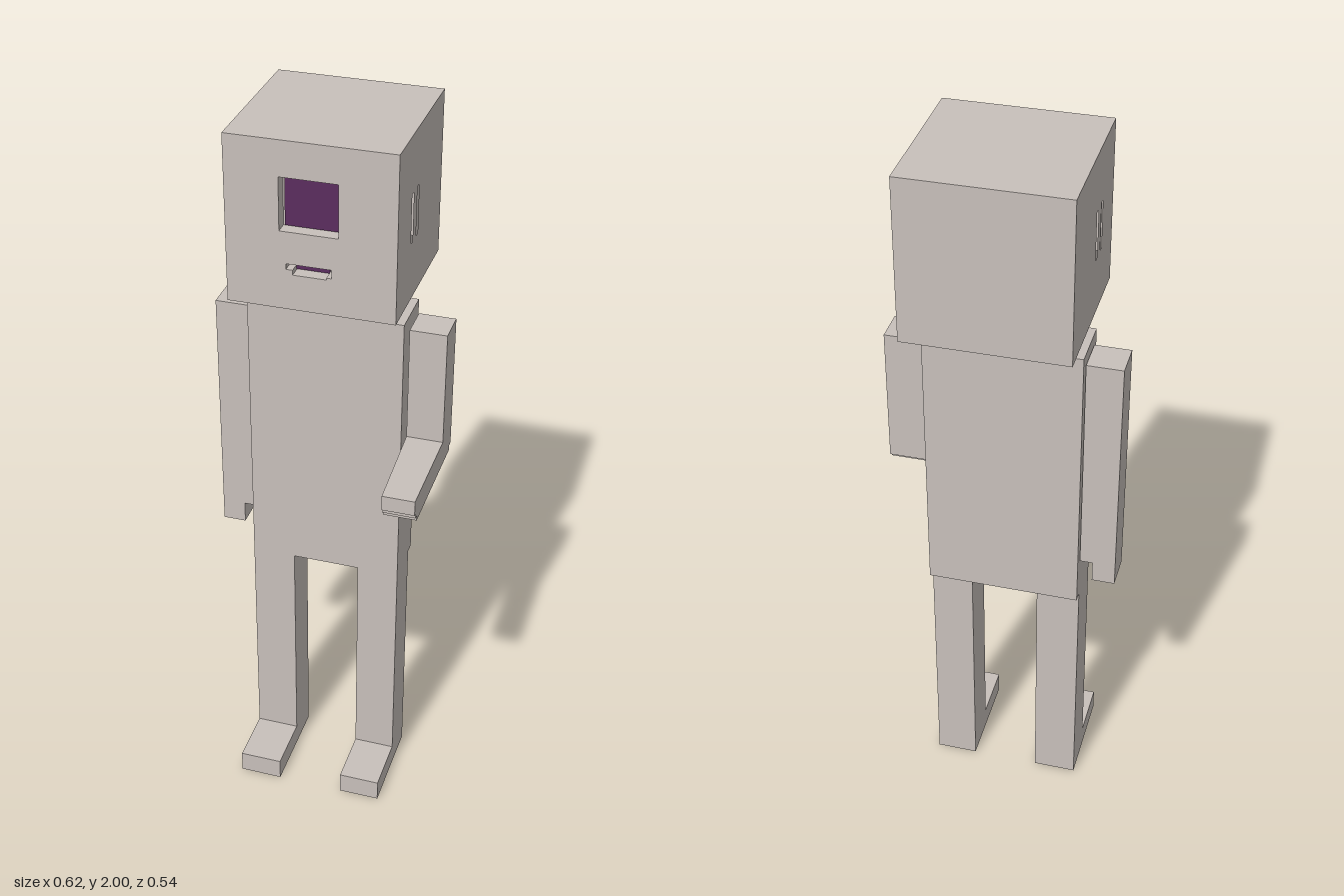
import * as THREE from 'three';

const clay = new THREE.MeshStandardMaterial({ color: 0xc8c0bb });
clay.name = 'warm grey';
const purple = new THREE.MeshStandardMaterial({ color: 0x5b2d5e });
purple.name = 'dark purple';

const V = (pts) => pts.map(([x, y]) => new THREE.Vector2(x, y));
const rect = (x0, x1, y0, y1) => [[x0, y0], [x1, y0], [x1, y1], [x0, y1]];

function extrude(outline, holes, depth) {
  const shape = new THREE.Shape(V(outline));
  for (const h of holes) shape.holes.push(new THREE.Path(V(h)));
  return new THREE.ExtrudeGeometry(shape, { depth, bevelEnabled: false });
}

// Outline in (x, y), running from z0 to z1
const alongZ = (outline, z0, z1, holes = []) =>
  extrude(outline, holes, z1 - z0).translate(0, 0, z0);

// Outline in (z, y), running from x0 to x1
function alongX(outline, x0, x1, holes = []) {
  const flip = (pts) => pts.map(([z, y]) => [-z, y]);
  return extrude(flip(outline), holes.map(flip), x1 - x0).rotateY(Math.PI / 2).translate(x0, 0, 0);
}

function box(x0, x1, y0, y1, z0, z1) {
  return new THREE.BoxGeometry(x1 - x0, y1 - y0, z1 - z0)
    .translate((x0 + x1) / 2, (y0 + y1) / 2, (z0 + z1) / 2);
}

export function createModel() {
  const model = new THREE.Group();
  model.name = 'robot';
  const add = (name, geometry, material = clay, parent = model) => {
    const mesh = new THREE.Mesh(geometry, material);
    mesh.name = name;
    parent.add(mesh);
  };

  // Head: a core with a pierced face plate and slotted side plates
  const head = new THREE.Group();
  head.name = 'head';
  model.add(head);
  const eye = rect(-0.078, 0.07, 1.768, 1.907);
  const mouth = [[-0.045, 1.655], [0.04, 1.655], [0.04, 1.66], [0.053, 1.66], [0.053, 1.683],
    [-0.062, 1.683], [-0.062, 1.668], [-0.045, 1.668]];
  add('headCore', box(-0.195, 0.195, 1.56, 2, -0.27, 0.11), clay, head);
  add('facePlate', alongZ(rect(-0.215, 0.215, 1.56, 2), 0.11, 0.145, [eye, mouth]), clay, head);
  const slots = [0.014, -0.034].map((z) => rect(z - 0.008, z + 0.008, 1.717, 1.847));
  const side = rect(-0.27, 0.11, 1.56, 2);
  add('leftSidePlate', alongX(side, 0.195, 0.215, slots), clay, head);
  add('rightSidePlate', alongX(side, -0.215, -0.195, slots), clay, head);
  add('eyeScreen', box(-0.073, 0.07, 1.77, 1.907, 0.108, 0.114), purple, head);
  add('mouthScreen', box(-0.045, 0.04, 1.657, 1.681, 0.108, 0.114), purple, head);

  // Body
  add('neck', box(-0.058, 0.054, 1.48, 1.565, -0.105, -0.01));
  add('torso', box(-0.212, 0.203, 0.703, 1.488, -0.128, 0.016));

  // Legs with the feet pointing forward
  const leg = [[-0.1, 0], [0.174, 0], [0.174, 0.062], [0.016, 0.062], [0.016, 0.703], [-0.1, 0.703]];
  add('leftLeg', alongX(leg, 0.09, 0.203));
  add('rightLeg', alongX(leg, -0.212, -0.094));

  // Right arm hangs straight, its hand narrower than the sleeve
  const hanging = [[-0.31, 0.77], [-0.248, 0.77], [-0.248, 0.83], [-0.214, 0.83],
    [-0.214, 1.46], [-0.31, 1.46]];
  add('rightArm', alongZ(hanging, -0.11, -0.015));

  // Left arm bends forward at the elbow, with stepped fingertips
  const bent = [[-0.09, 1.07], [0.245, 1.07], [0.245, 1.085], [0.257, 1.085], [0.257, 1.1],
    [0.268, 1.1], [0.268, 1.142], [-0.013, 1.142], [-0.013, 1.46], [-0.105, 1.46],
    [-0.105, 1.085], [-0.09, 1.085]];
  const arm = alongX(bent, 0.206, 0.308);
  const p = arm.attributes.position;
  for (let i = 0; i < p.count; i++) {
    // The inner side tapers towards the hand
    if (p.getX(i) < 0.25) p.setX(i, 0.21 + 0.045 * Math.max(0, p.getZ(i)));
  }
  arm.computeVertexNormals();
  add('leftArm', arm);

  return model;
}
